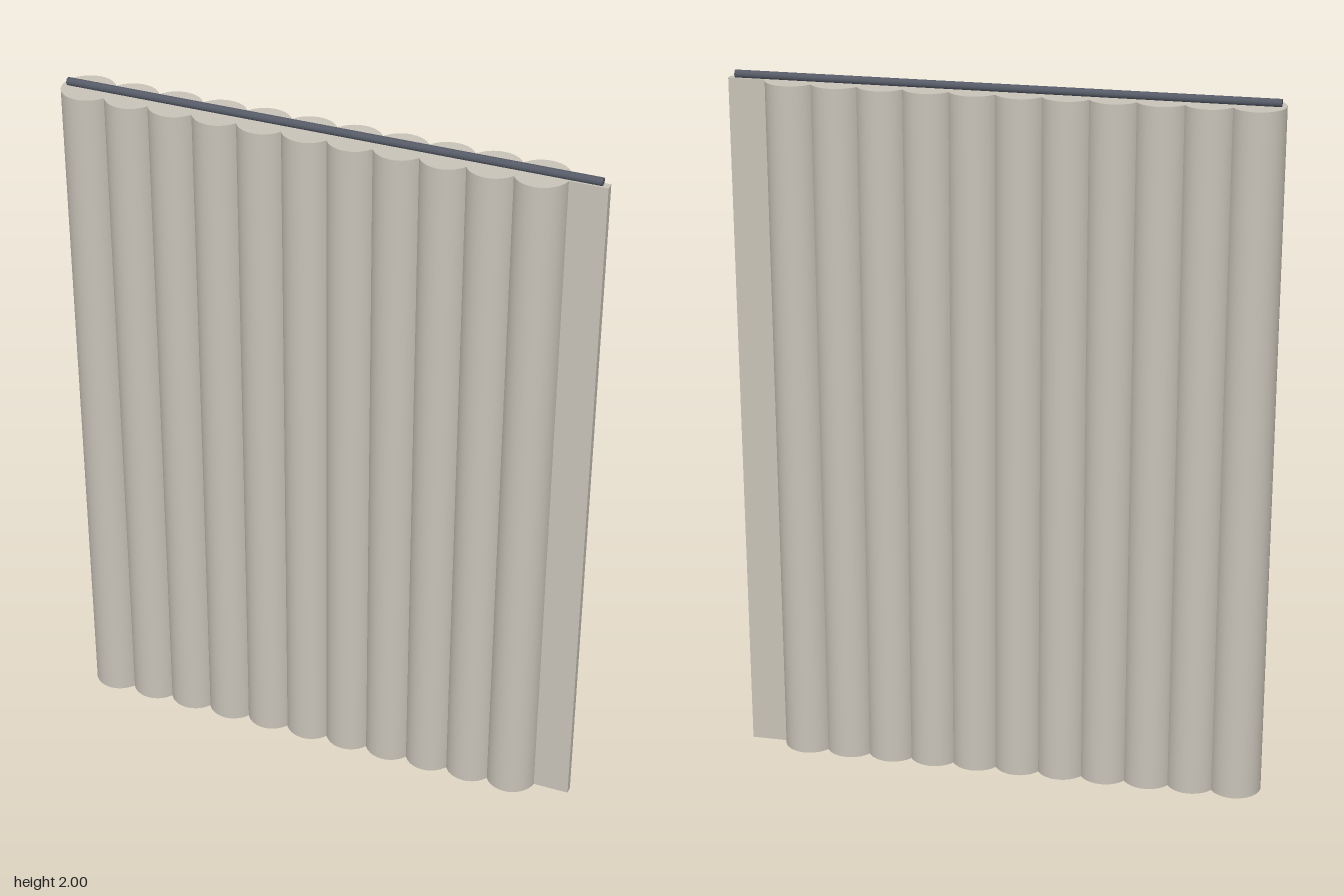
import * as THREE from 'three';

export function createModel() {
  const model = new THREE.Group();
  const fabric = new THREE.MeshStandardMaterial({ color: 0xc8c3b8 });
  const metal = new THREE.MeshStandardMaterial({ color: 0x555a66 });

  const add = (name, geometry, material, x, y, z = 0) => {
    const mesh = new THREE.Mesh(geometry, material);
    mesh.name = name;
    mesh.position.set(x, y, z);
    model.add(mesh);
    return mesh;
  };

  const height = 1.98, foldRadius = 0.073, foldCount = 11, spacing = 0.125;

  // Row of rounded curtain folds
  const foldGeometry = new THREE.CylinderGeometry(foldRadius, foldRadius, height, 32);
  for (let i = 0; i < foldCount; i++) {
    add(`curtainFold${i + 1}`, foldGeometry, fabric, -0.676 + i * spacing, height / 2);
  }

  // Flat cloth running through the folds, bare at the left end
  add('curtainPanel', new THREE.BoxGeometry(1.496, height, 0.023), fabric, 0, height / 2);

  // Rail along the top
  const rail = add('curtainRail', new THREE.CylinderGeometry(0.011, 0.011, 1.466, 16), metal, -0.002, 1.989);
  rail.rotation.z = Math.PI / 2;

  return model;
}
